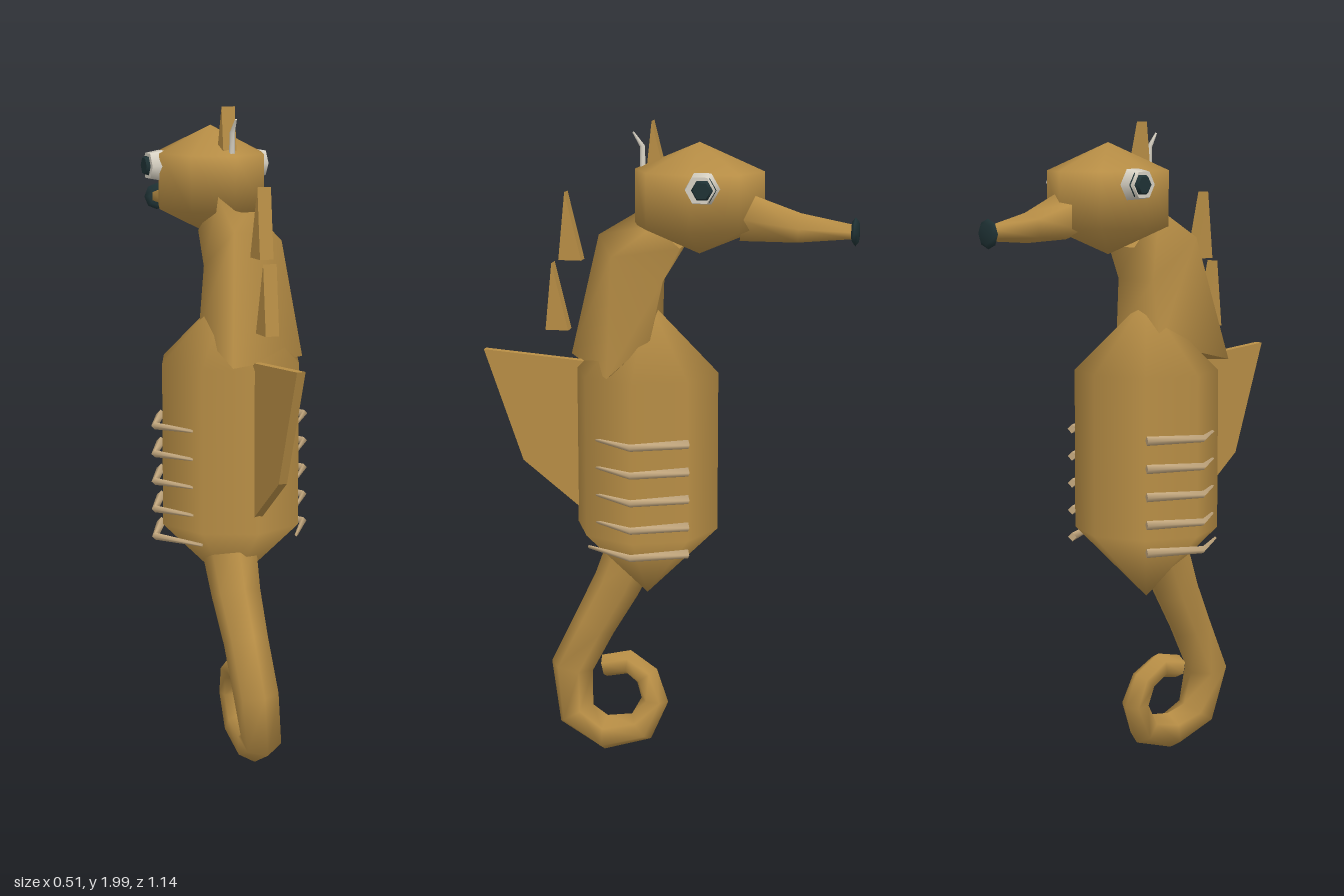
import * as THREE from 'three';

const mat = (name, color, side = THREE.FrontSide) => {
  const m = new THREE.MeshStandardMaterial({ color, side });
  m.name = name;
  return m;
};

// Skin through rings of points (each counterclockwise about the direction of travel), capped at both ends
function loft(rings) {
  const n = rings[0].length, pos = [], idx = [];
  const add = (ring) => ring.forEach((p) => pos.push(p.x, p.y, p.z));
  rings.forEach(add);
  for (let r = 0; r < rings.length - 1; r++) {
    for (let i = 0; i < n; i++) {
      const a = r * n + i, b = r * n + (i + 1) % n;
      idx.push(a, b, b + n, a, b + n, a + n);
    }
  }
  const start = rings.length * n, end = start + n;
  add(rings[0]);
  add(rings[rings.length - 1]);
  for (let i = 1; i < n - 1; i++) {
    idx.push(start, start + i + 1, start + i, end, end + i, end + i + 1);
  }
  const g = new THREE.BufferGeometry();
  g.setAttribute('position', new THREE.Float32BufferAttribute(pos, 3));
  g.setIndex(idx);
  g.computeVertexNormals();
  return g;
}

// Tapered tube along points [x, y, z, radius]; ref is a direction roughly across the path
function taperTube(points, sides, ref, turn = 0) {
  const c = points.map((p) => new THREE.Vector3(p[0], p[1], p[2]));
  return loft(c.map((p, k) => {
    const t = c[Math.min(k + 1, c.length - 1)].clone().sub(c[Math.max(k - 1, 0)]).normalize();
    const u = ref.clone().addScaledVector(t, -ref.dot(t)).normalize();
    const v = t.clone().cross(u);
    return Array.from({ length: sides }, (_, i) => {
      const a = turn + (i / sides) * Math.PI * 2, r = points[k][3];
      return p.clone().addScaledVector(u, r * Math.cos(a)).addScaledVector(v, r * Math.sin(a));
    });
  }));
}

// Flat plate from a [z, y] outline, centred on x = 0
function plate(outline, width) {
  const shape = new THREE.Shape(outline.map(([z, y]) => new THREE.Vector2(-z, y)));
  const g = new THREE.ExtrudeGeometry(shape, { depth: width, bevelEnabled: false });
  return g.translate(0, 0, -width / 2).rotateY(Math.PI / 2);
}

export function createModel() {
  const gold = mat('golden skin', 0xb98f46);
  const bone = mat('pale bone', 0xc6aa80);
  const white = mat('eye white', 0xd8d2c4);
  const dark = mat('dark pupil', 0x1f3235);
  const X = new THREE.Vector3(1, 0, 0), Y = new THREE.Vector3(0, 1, 0);

  const model = new THREE.Group();
  model.name = 'seahorse';
  const add = (name, geometry, material) => {
    const m = new THREE.Mesh(geometry, material);
    m.name = name;
    model.add(m);
    return m;
  };

  // Trunk
  add('body', new THREE.CapsuleGeometry(0.22, 0.49, 1, 8), gold).position.set(0, 1.005, 0.06);

  // Neck: flares out over the shoulders
  const neckRings = [
    [[0.2, 1.26, 0.14], [0.1, 1.36, 0.03], [-0.09, 1.34, 0.03], [-0.1, 1.27, 0.32]],
    [[0.13, 1.61, 0.14], [0.06, 1.53, 0.0], [-0.07, 1.53, 0.02], [-0.055, 1.65, 0.22]],
    [[0.08, 1.7, 0.02], [0.05, 1.63, -0.05], [-0.06, 1.63, -0.05], [-0.045, 1.74, 0.07]],
  ];
  add('neck', loft(neckRings.map((r) => r.map((p) => new THREE.Vector3(...p)))), gold);

  // Head and snout
  const head = add('head', new THREE.SphereGeometry(1, 8, 3), gold);
  head.scale.set(0.19, 0.165, 0.225);
  head.position.set(0, 1.775, -0.1);
  add('snout', taperTube([
    [0.022, 1.728, -0.24, 0.075], [0.01, 1.698, -0.4, 0.046], [0, 1.688, -0.56, 0.022],
  ], 5, X), gold);
  const tip = [[0, -0.01], [0.03, -0.01], [0.043, 0], [0.03, 0.01], [0, 0.01]];
  const mouth = add('mouth', new THREE.LatheGeometry(tip.map((p) => new THREE.Vector2(...p)), 8), dark);
  mouth.rotation.x = -Math.PI / 2;
  mouth.position.set(0, 1.688, -0.564);

  for (const s of [1, -1]) {
    const side = s > 0 ? 'left' : 'right';
    // Eyes
    const eye = add(side + 'EyeWhite', new THREE.CylinderGeometry(0.043, 0.052, 0.045, 6), white);
    eye.position.set(s * 0.166, 1.82, -0.135);
    const pupil = add(side + 'Pupil', new THREE.CylinderGeometry(0.026, 0.04, 0.024, 6), dark);
    pupil.position.set(s * 0.187, 1.82, -0.142);
    eye.rotation.z = pupil.rotation.z = -s * Math.PI / 2;

    // Ribs wrapped around the flanks
    for (let i = 0; i < 5; i++) {
      const y = 0.725 + i * 0.085, long = i === 0 ? 0.03 : 0;
      add(side + 'Rib' + (i + 1), taperTube([
        [s * 0.165, y, -0.1, 0.014], [s * 0.245, y, 0.06, 0.011], [s * (0.168 - long / 2), y, 0.18 + long, 0.005],
      ], 4, Y), bone);
    }
  }

  // Dorsal fin and spines along the back
  add('dorsalFin', plate([[0.57, 1.295], [0.45, 0.95], [0.26, 0.8], [0.24, 1.27]], 0.026), gold);
  const spines = [
    [[0.04, 2.0], [0.055, 1.86], [0.005, 1.86]],
    [[0.307, 1.785], [0.328, 1.58], [0.257, 1.58]],
    [[0.35, 1.57], [0.371, 1.365], [0.3, 1.365]],
  ];
  spines.forEach((s, i) => add('spine' + (i + 1), plate(s, 0.042), gold));

  // Thin hair on the crown
  add('crownHair', taperTube([
    [0, 1.84, 0.07, 0.01], [0, 1.925, 0.072, 0.008], [0, 1.965, 0.1, 0.003],
  ], 5, X), white);

  // Curled tail
  add('tail', taperTube([
    [-0.025, 0.7, 0.1, 0.085], [-0.025, 0.55, 0.165, 0.075], [-0.022, 0.42, 0.235, 0.068],
    [-0.02, 0.27, 0.31, 0.068], [0.005, 0.12, 0.29, 0.062], [0.025, 0.07, 0.19, 0.058],
    [0.025, 0.1, 0.075, 0.05], [0.02, 0.19, 0.033, 0.043], [0.01, 0.265, 0.06, 0.04],
    [0, 0.303, 0.12, 0.04], [0, 0.285, 0.2, 0.036],
  ], 6, X, Math.PI / 6), gold);

  return model;
}
